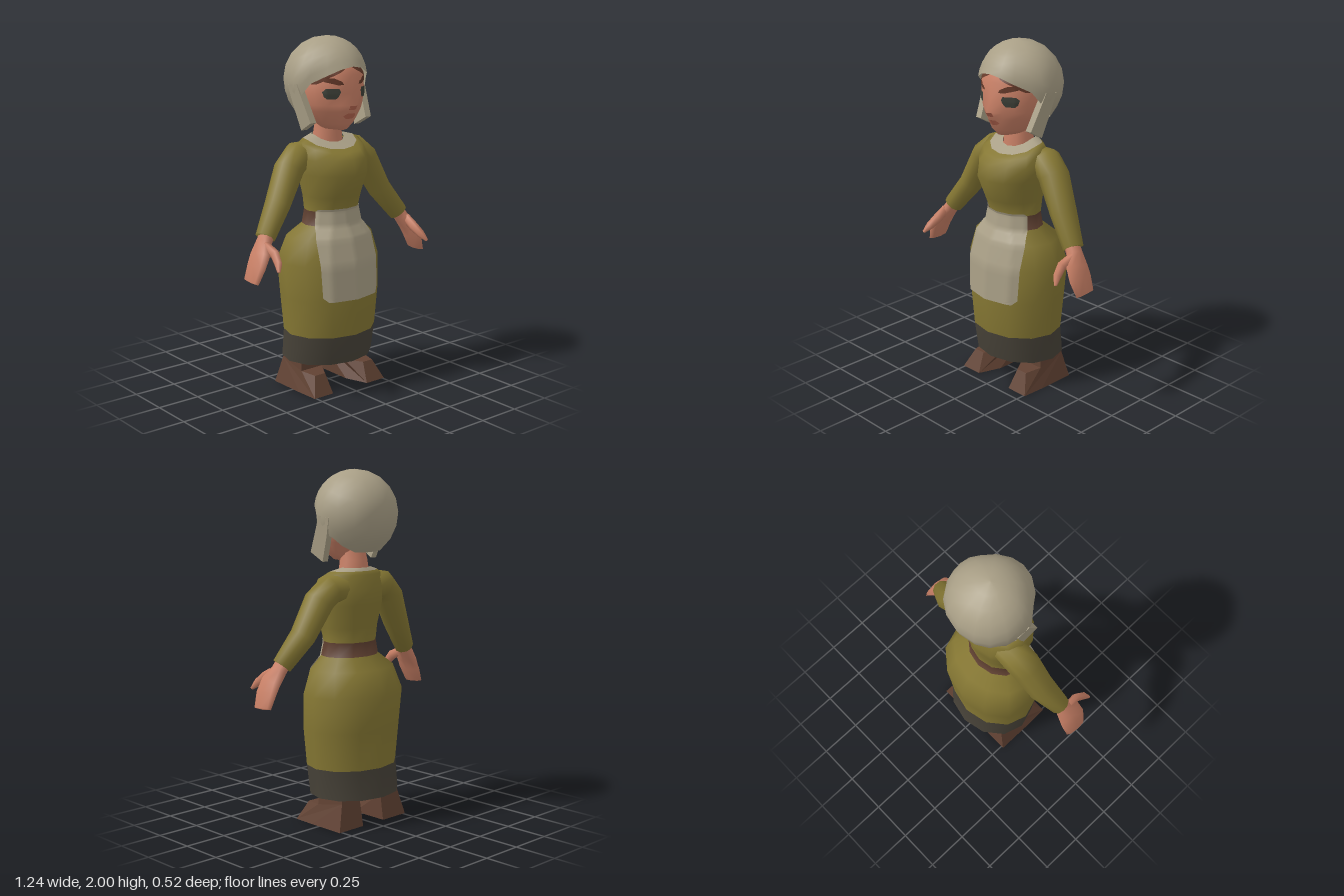
import * as THREE from 'three';

const mat = (name, color, side = THREE.FrontSide) => {
  const m = new THREE.MeshStandardMaterial({ color, side });
  m.name = name;
  return m;
};

// Smooth surface through rows of points; bands optionally pick a material per row
function grid(rows, closed, bands) {
  const w = rows[0].length, cols = closed ? w : w - 1;
  const pos = rows.flat().flatMap(p => [p.x, p.y, p.z]), idx = [];
  const g = new THREE.BufferGeometry();
  for (let i = 0; i < rows.length - 1; i++) {
    if (bands) g.addGroup(idx.length, cols * 6, bands[i]);
    for (let j = 0; j < cols; j++) {
      const k = (j + 1) % w, a = i * w + j, b = i * w + k;
      idx.push(a, b, b + w, a, b + w, a + w);
    }
  }
  g.setAttribute('position', new THREE.Float32BufferAttribute(pos, 3));
  g.setIndex(idx);
  g.computeVertexNormals();
  return g;
}

// Ring: [y, half width, front z, back z, drop at front, extra at front vertex]
function ringVertex([y, hx, zf, zb, drop = 0, nose = 0], j, n) {
  j = ((j % n) + n) % n;
  const a = j / n * Math.PI * 2, c = Math.cos(a), mid = Math.min(0.02, (zf + zb) / 2);
  return new THREE.Vector3(hx * Math.sin(a), y - drop * Math.max(0, c),
    mid + (c > 0 ? zf - mid : mid - zb) * c + (j === 0 ? nose : 0));
}
const loft = (rings, n, bands) =>
  grid(rings.map(r => Array.from({ length: n }, (_, j) => ringVertex(r, j, n))), true, bands);

// Thin patch lying on the front of a ring surface; rows are [y, x0, x1]
function patch(rings, n, rows, off = 0.005, cols = 12, sub = 4) {
  const out = [];
  const line = ([y, x0, x1]) => {
    let i = 0;
    while (i < rings.length - 2 && rings[i + 1][0] < y) i++;
    const f = (y - rings[i][0]) / (rings[i + 1][0] - rings[i][0]);
    const hx = THREE.MathUtils.lerp(rings[i][1], rings[i + 1][1], f);
    const ang = x => Math.asin(THREE.MathUtils.clamp(x / hx, -1, 1));
    return Array.from({ length: cols + 1 }, (_, c) => {
      const a = THREE.MathUtils.lerp(ang(x0), ang(x1), c / cols), t = a / (2 * Math.PI) * n, j = Math.floor(t);
      const at = r => ringVertex(r, j, n).lerp(ringVertex(r, j + 1, n), t - j);
      const p = at(rings[i]).lerp(at(rings[i + 1]), f);
      p.x += off * Math.sin(a);
      p.z += off * Math.cos(a);
      return p;
    });
  };
  rows.slice(0, -1).forEach((r, k) => {
    for (let s = 0; s < sub; s++) out.push(line(r.map((v, q) => THREE.MathUtils.lerp(v, rows[k + 1][q], s / sub))));
  });
  out.push(line(rows[rows.length - 1]));
  return grid(out, false);
}

// Limb through sections [x, y, z, radius u, radius v]; ref steers the v axis
function limb(sections, ref, n = 8) {
  const c = sections.map(s => new THREE.Vector3(s[0], s[1], s[2]));
  return grid(sections.map((s, i) => {
    const d = c[Math.min(i + 1, c.length - 1)].clone().sub(c[Math.max(i - 1, 0)]).normalize();
    const v = ref.clone().addScaledVector(d, -d.dot(ref)).normalize();
    const u = d.clone().cross(v);
    return Array.from({ length: n }, (_, j) => {
      const a = j / n * Math.PI * 2;
      return c[i].clone().addScaledVector(u, s[3] * Math.sin(a)).addScaledVector(v, s[4] * Math.cos(a));
    });
  }), true);
}

function mirrored(geo) {
  const g = geo.clone();
  const src = g.index ? Array.from(g.index.array) : Array.from({ length: g.attributes.position.count }, (_, i) => i);
  for (let i = 0; i < src.length; i += 3) [src[i], src[i + 1]] = [src[i + 1], src[i]];
  g.setIndex(src);
  return g.scale(-1, 1, 1);
}

// Side profile of [z, y] points, extruded along x
function sideProfile(points, depth) {
  const s = new THREE.Shape(points.map(([z, y]) => new THREE.Vector2(-z, y)));
  return new THREE.ExtrudeGeometry(s, { depth, bevelEnabled: false }).rotateY(Math.PI / 2);
}
function warp(geo, fn) {
  const p = geo.attributes.position, v = new THREE.Vector3();
  for (let i = 0; i < p.count; i++) {
    fn(v.fromBufferAttribute(p, i));
    p.setXYZ(i, v.x, v.y, v.z);
  }
  geo.computeVertexNormals();
  return geo;
}

export function createModel() {
  const model = new THREE.Group();
  const dress = mat('olive cloth', 0x857733), hem = mat('dark hem', 0x474238, THREE.DoubleSide);
  const linen = mat('linen', 0xa99f86, THREE.DoubleSide), belt = mat('belt leather', 0x5e3f30);
  const skin = mat('skin', 0xc98066), boot = mat('boot leather', 0x614233);
  const hair = mat('hair', 0x653a2a, THREE.DoubleSide), eye = mat('eye', 0x3d4038, THREE.DoubleSide);
  const lip = mat('lip', 0xb5654f, THREE.DoubleSide);
  const add = (name, geo, m) => {
    const mesh = new THREE.Mesh(geo, m);
    mesh.name = name;
    model.add(mesh);
  };
  const pair = (name, geo, m) => {
    add('left' + name, geo, m);
    add('right' + name, mirrored(geo), m);
  };

  // Dress: hem, skirt, belt, bodice and collar
  const body = [
    [0.17, 0.275, 0.215, -0.25], [0.335, 0.28, 0.24, -0.228], [0.55, 0.3, 0.255, -0.245],
    [0.75, 0.31, 0.245, -0.262], [0.89, 0.265, 0.205, -0.2], [0.96, 0.18, 0.165, -0.12],
    [1.04, 0.165, 0.15, -0.11], [1.12, 0.175, 0.185, -0.115], [1.25, 0.205, 0.238, -0.14],
    [1.335, 0.215, 0.215, -0.15], [1.42, 0.2, 0.175, -0.125, 0.055],
    [1.44, 0.165, 0.135, -0.115, 0.055], [1.458, 0.095, 0.075, -0.1, 0.04]];
  add('dress', loft(body, 12, [1, 0, 0, 0, 0, 2, 0, 0, 0, 0, 0, 3]), [dress, hem, belt, linen]);
  const lining = new THREE.CircleGeometry(1, 12).rotateX(Math.PI / 2).scale(0.27, 1, 0.22);
  add('skirtLining', lining.translate(0, 0.33, 0), hem);
  add('apron', patch(body, 12, [[0.56, -0.1, 0.1], [0.55, -0.17, 0.17], [0.575, -0.198, 0.198], [0.75, -0.205, 0.205],
    [0.89, -0.2, 0.2], [0.96, -0.163, 0.163], [1.04, -0.152, 0.152], [1.055, -0.145, 0.145]].slice(1), 0.007, 24, 5), linen);

  // Neck and head
  add('neck', loft([[1.4, 0.095, 0.075, -0.1], [1.5, 0.082, 0.065, -0.085], [1.63, 0.075, 0.05, -0.035]], 10), skin);
  const head = [
    [1.488, 0.01, 0.12, 0.06], [1.495, 0.06, 0.14, 0.02], [1.53, 0.11, 0.165, -0.03], [1.6, 0.16, 0.186, -0.08, 0, 0.022],
    [1.635, 0.173, 0.193, -0.11, 0, 0.04], [1.7, 0.187, 0.198, -0.15, 0, 0.004], [1.8, 0.18, 0.2, -0.18],
    [1.88, 0.14, 0.15, -0.14], [1.93, 0.01, 0.01, -0.01]];
  add('head', loft(head, 16), skin);

  // Painted face
  pair('Eye', patch(head, 16, [[1.672, 0.09, 0.13], [1.685, 0.078, 0.142], [1.71, 0.068, 0.15], [1.728, 0.075, 0.135]], 0.004), eye);
  pair('Brow', patch(head, 16, [[1.748, 0.05, 0.085], [1.765, 0.06, 0.14], [1.785, 0.1, 0.16]], 0.004), hair);
  pair('Hairline', patch(head, 16, [[1.75, 0.165, 0.181], [1.79, 0.115, 0.178], [1.82, 0.05, 0.168], [1.85, 0, 0.15]], 0.003), hair);
  add('mouth', patch(head, 16, [[1.56, -0.025, 0.025], [1.575, -0.042, 0.042], [1.59, -0.025, 0.025]], 0.004), lip);
  add('noseTip', patch(head, 16, [[1.612, -0.025, 0.025], [1.635, -0.025, 0.025]], 0.003), lip);

  // Cap: dome running from the crown to a shaped rim
  const centre = new THREE.Vector3(0, 1.775, -0.02), size = new THREE.Vector3(0.234, 0.225, 0.23);
  const half = [[0, 1.845, 0.21], [0.07, 1.833, 0.2], [0.14, 1.8, 0.16], [0.195, 1.755, 0.085], [0.225, 1.69, 0.04],
    [0.22, 1.65, -0.01], [0.2, 1.63, -0.05], [0.165, 1.585, -0.09], [0.1, 1.55, -0.12], [0.05, 1.546, -0.128], [0, 1.545, -0.13]];
  const rim = [...half, ...half.slice(1, -1).reverse().map(([x, y, z]) => [-x, y, z])];
  const dome = [];
  for (let i = 0; i <= 8; i++) {
    const t = 1 - i / 8;
    dome.push(rim.map(([x, y, z]) => {
      const e = new THREE.Vector3(x, y, z).sub(centre).divide(size), len = e.length();
      const polar = Math.acos(e.y / len) * t, around = Math.atan2(e.x, e.z);
      return new THREE.Vector3().setFromSphericalCoords(1 + (len - 1) * t ** 3, polar, around).multiply(size).add(centre);
    }));
  }
  add('cap', grid(dome, true), linen);
  pair('CapFlap', warp(sideProfile([[0.04, 1.7], [0.11, 1.545], [0.02, 1.495], [-0.03, 1.635], [-0.06, 1.74], [0.02, 1.75]], 0.04),
    v => { v.x += 0.185 + (v.y - 1.62) * 0.12; }), linen);

  // Arms
  const zAxis = new THREE.Vector3(0, 0, 1), xAxis = new THREE.Vector3(1, 0, 0);
  pair('Sleeve', limb([[0.12, 1.345, -0.03, 0.08, 0.08], [0.2, 1.345, -0.028, 0.085, 0.09], [0.27, 1.285, -0.015, 0.082, 0.09],
    [0.37, 1.1, 0.01, 0.066, 0.08], [0.485, 0.945, 0.053, 0.056, 0.058], [0.487, 0.942, 0.053, 0.001, 0.001]], zAxis, 10), dress);
  pair('Hand', limb([[0.47, 0.965, 0.053, 0.04, 0.045], [0.5, 0.92, 0.06, 0.038, 0.05], [0.54, 0.86, 0.08, 0.034, 0.078],
    [0.57, 0.8, 0.085, 0.027, 0.082], [0.602, 0.72, 0.08, 0.018, 0.068], [0.603, 0.715, 0.08, 0.001, 0.001]], zAxis), skin);
  pair('Thumb', limb([[0.515, 0.91, 0.09, 0.03, 0.022], [0.505, 0.875, 0.165, 0.03, 0.025],
    [0.52, 0.835, 0.215, 0.024, 0.022], [0.54, 0.8, 0.245, 0.008, 0.01], [0.541, 0.798, 0.247, 0.001, 0.001]], xAxis, 6), skin);

  // Boots, tapering upward and narrowing at the toe
  const profile = [[-0.17, 0], [0.06, 0], [0.195, 0], [0.14, 0.11], [0.04, 0.115], [0.03, 0.34], [-0.12, 0.34], [-0.145, 0.15]];
  pair('Boot', warp(sideProfile(profile, 2), v => {
    const width = 0.092 * (1 - 1.6 * Math.min(v.y, 0.17)) * (v.z > 0.1 ? (v.y > 0.05 ? 0.45 : 0.72) : 1);
    v.x = 0.173 - 0.13 * Math.min(v.y, 0.17) + (v.x - 1) * width + (v.z > 0.1 ? 0.02 : 0);
  }), boot);

  return model;
}
